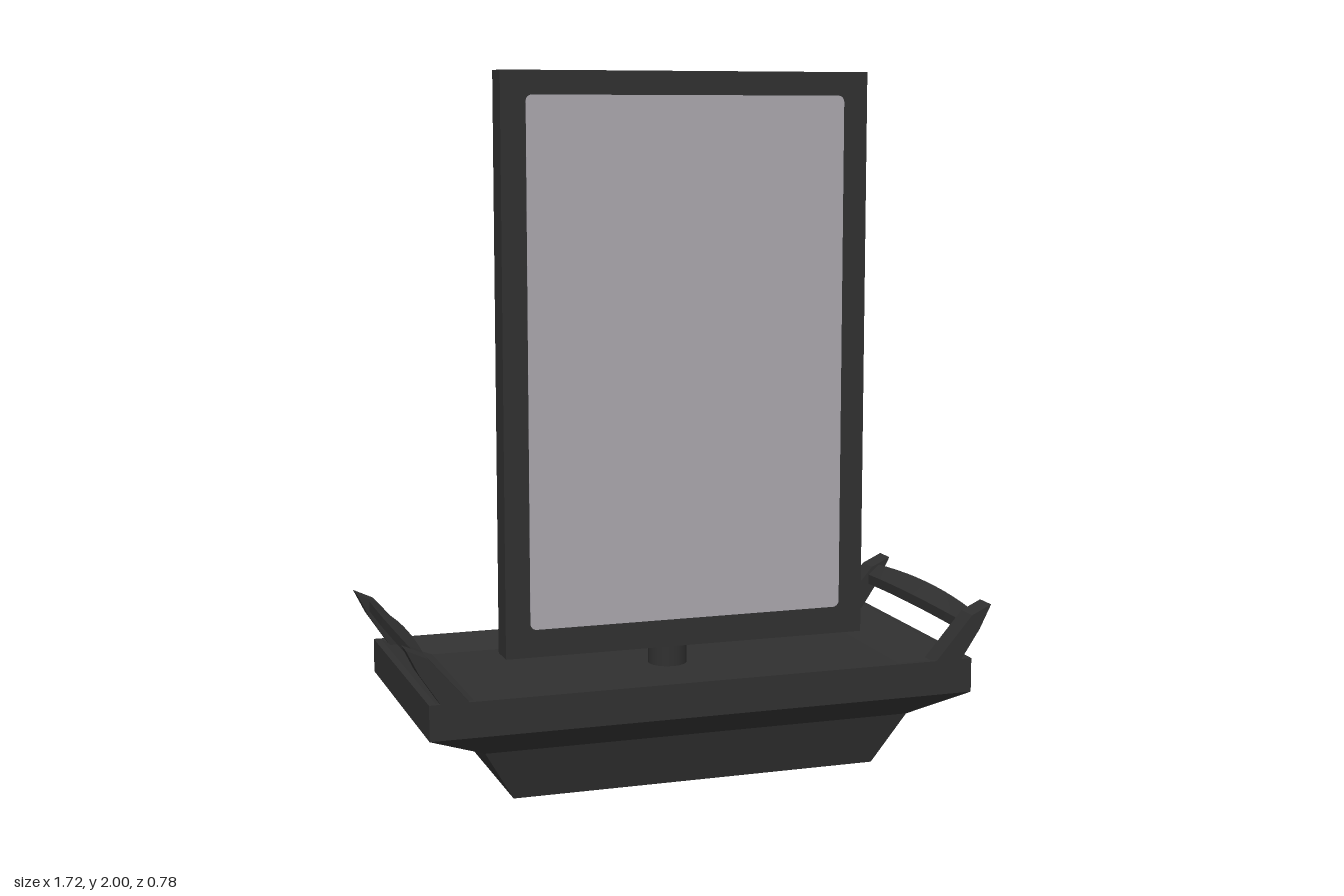
import * as THREE from 'three';

export function createModel() {
  const model = new THREE.Group();
  const dark = new THREE.MeshStandardMaterial({ color: 0x303030 });
  dark.name = 'charcoal';
  const silver = new THREE.MeshStandardMaterial({ color: 0xa9a5ac });
  silver.name = 'mirror silver';

  const add = (name, geometry, material = dark, parent = model) => {
    const mesh = new THREE.Mesh(geometry, material);
    mesh.name = name;
    parent.add(mesh);
    return mesh;
  };

  // Tray: rectangular sections [half width, y, half depth], from underside over the rim to the floor
  const sections = [
    [0.54, 0, 0.27], [0.63, 0.15, 0.315], [0.8, 0.22, 0.39], [0.8, 0.32, 0.39],
    [0.78, 0.32, 0.375], [0.64, 0.28, 0.305],
  ];
  const rings = sections.map(([x, y, z]) =>
    [[x, z], [x, -z], [-x, -z], [-x, z]].map(([a, b]) => [a, y, b]));
  const points = [];
  const quad = (a, b, c, d) => points.push(...a, ...b, ...c, ...a, ...c, ...d);
  for (let i = 0; i < rings.length - 1; i++) {
    for (let j = 0; j < 4; j++) {
      const k = (j + 1) % 4;
      quad(rings[i][j], rings[i][k], rings[i + 1][k], rings[i + 1][j]);
    }
  }
  const floor = rings[rings.length - 1];
  quad(floor[0], floor[1], floor[2], floor[3]);
  quad(rings[0][3], rings[0][2], rings[0][1], rings[0][0]);
  const tray = new THREE.BufferGeometry();
  tray.setAttribute('position', new THREE.Float32BufferAttribute(points, 3));
  tray.computeVertexNormals();
  add('tray', tray);

  // Handles: two slanted brackets and a bowed bar on each side
  const bracket = new THREE.Shape([
    [0.685, 0.315], [0.765, 0.315], [0.825, 0.405], [0.86, 0.475], [0.8, 0.447],
  ].map(([x, y]) => new THREE.Vector2(x, y)));
  const bracketGeometry = new THREE.ExtrudeGeometry(bracket, { depth: 0.07, bevelEnabled: false });
  bracketGeometry.translate(0, 0, -0.035);
  const barGeometry = new THREE.BoxGeometry(1, 1, 0.66, 1, 1, 10);
  const p = barGeometry.attributes.position;
  for (let i = 0; i < p.count; i++) {
    const bow = 1 - (p.getZ(i) / 0.33) ** 2;
    const x = p.getX(i), y = p.getY(i);
    p.setXYZ(i, 0.806 + x * (0.035 + 0.025 * bow),
      0.422 + 0.012 * bow + y * 0.03 + x * 0.03, p.getZ(i));
  }
  barGeometry.computeVertexNormals();
  for (const [name, turn] of [['leftHandle', 0], ['rightHandle', Math.PI]]) {
    const handle = new THREE.Group();
    handle.name = name;
    handle.rotation.y = turn;
    for (const z of [-0.355, 0.355]) add('handleBracket', bracketGeometry, dark, handle).position.z = z;
    add('handleBar', barGeometry, dark, handle);
    model.add(handle);
  }

  // Mirror panel and its glass with small rounded corners
  add('mirrorFrame', new THREE.BoxGeometry(1.074, 1.625, 0.083)).position.set(0, 1.1875, 0.1465);
  const w = 0.466, h = 0.74, r = 0.018;
  const pane = new THREE.Shape();
  pane.absarc(w - r, h - r, r, 0, Math.PI / 2);
  pane.absarc(r - w, h - r, r, Math.PI / 2, Math.PI);
  pane.absarc(r - w, r - h, r, Math.PI, Math.PI * 1.5);
  pane.absarc(w - r, r - h, r, Math.PI * 1.5, Math.PI * 2);
  add('mirrorGlass', new THREE.ExtrudeGeometry(pane, { depth: 0.003, bevelEnabled: false, curveSegments: 4 }),
    silver).position.set(0, 1.194, 0.187);

  // Stand: straight pole, foot, and a hooked top reaching the panel
  const cylinder = (name, radius, bottom, top) =>
    add(name, new THREE.CylinderGeometry(radius, radius, top - bottom, 16)).position.y = (top + bottom) / 2;
  cylinder('pole', 0.037, 0.28, 1.38);
  cylinder('poleFoot', 0.057, 0.28, 0.38);
  cylinder('poleCollar', 0.046, 0.7, 0.8);
  const hook = new THREE.CatmullRomCurve3([
    [1.37, 0], [1.44, 0.006], [1.51, 0.024], [1.56, 0.05], [1.565, 0.08], [1.54, 0.11],
  ].map(([y, z]) => new THREE.Vector3(0, y, z)));
  add('poleHook', new THREE.TubeGeometry(hook, 16, 0.039, 14));

  // Mounts that join the stand to the back of the panel
  add('collarArm', new THREE.BoxGeometry(0.06, 0.1, 0.11)).position.set(0, 0.75, 0.055);
  const mount = add('hookMount', new THREE.CylinderGeometry(0.05, 0.05, 0.025, 16));
  mount.rotation.x = Math.PI / 2;
  mount.scale.z = 1.6;
  mount.position.set(0, 1.53, 0.094);

  return model;
}
